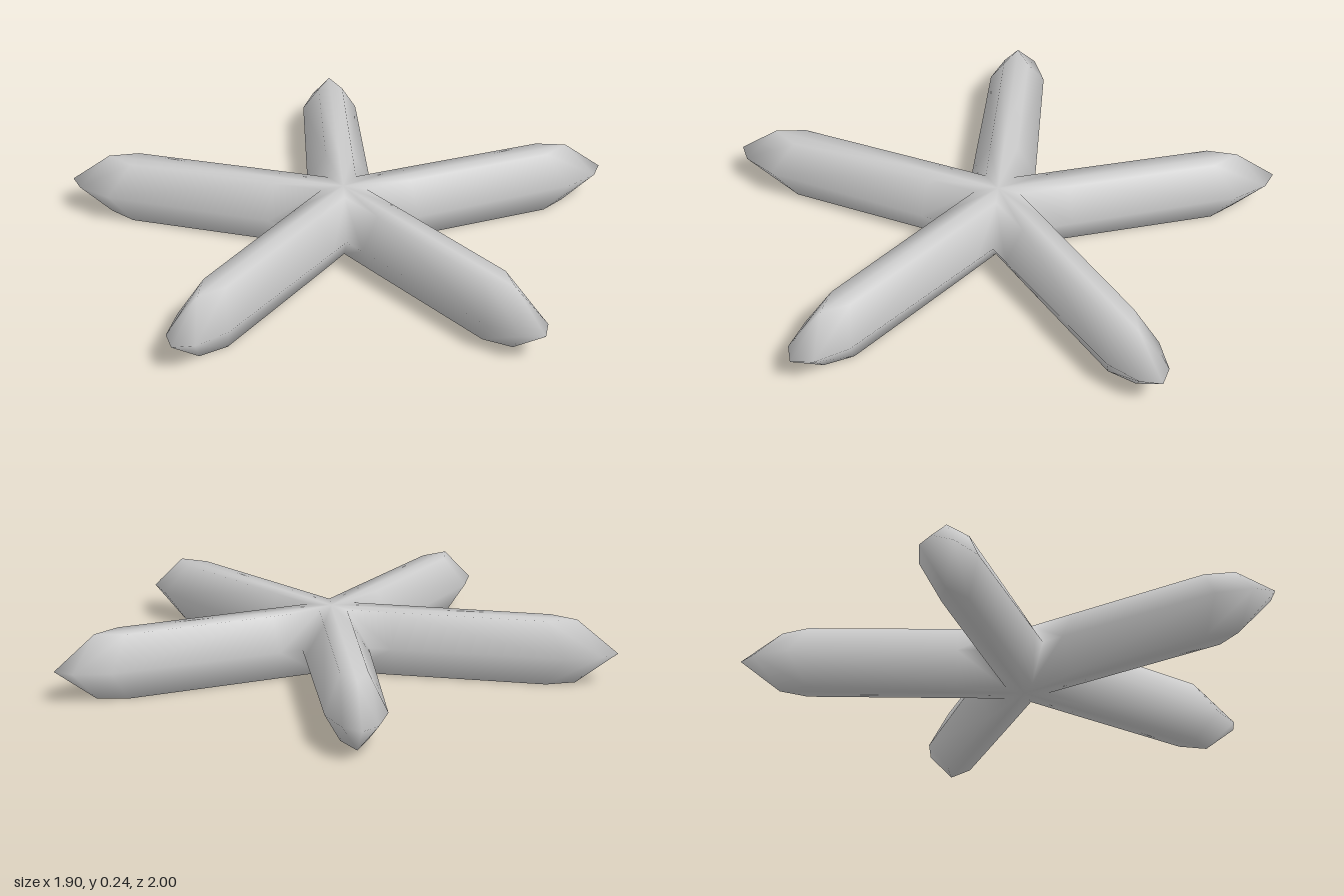
import * as THREE from 'three';
import { mergeGeometries, mergeVertices } from 'three/addons/utils/BufferGeometryUtils.js';

const HALF_HEIGHT = 0.118;
const ARMS = 5;
const VALLEY = Math.tan(Math.PI / ARMS); // slope of the seam between neighbouring arms

// One arm along +x: a six-sided section, flat above and below with a pointed
// edge on each side, tapering outwards and closing in a faceted tip.
// Each line runs from hub to tip as [distance along arm, offset to the side].
function armGeometry() {
  const centre = [[0, 0], [0.25, 0], [0.9, 0], [0.9, 0], [0.9, 0]];
  const shoulder = [[0.069, 0.069 * VALLEY], [0.25, 0.05], [0.8, 0.047], [0.9, 0], [0.9, 0]];
  const flank = [[0.165, 0.165 * VALLEY], [0.25, 0.118], [0.874, 0.105], [1.0, 0.06], [1.05, 0]];
  const pos = [];

  for (const up of [1, -1]) {
    for (const s of [1, -1]) {
      const place = (line, y) => line.map(([d, w]) => new THREE.Vector3(d, y, s * w));
      const tri = (a, b, c) => {
        if (a.equals(b) || b.equals(c) || c.equals(a)) return;
        const corners = up * s > 0 ? [a, b, c] : [a, c, b];
        corners.forEach((p) => pos.push(p.x, p.y, p.z));
      };
      const strip = (inner, outer) => {
        for (let i = 0; i < inner.length - 1; i++) {
          tri(inner[i], outer[i], outer[i + 1]);
          tri(inner[i], outer[i + 1], inner[i + 1]);
        }
      };
      const edge = place(shoulder, up * HALF_HEIGHT);
      strip(place(centre, up * HALF_HEIGHT), edge);
      strip(edge, place(flank, 0));
    }
  }
  const g = new THREE.BufferGeometry();
  g.setAttribute('position', new THREE.Float32BufferAttribute(pos, 3));
  return g;
}

export function createModel() {
  const group = new THREE.Group();
  group.name = 'starfish';

  // Five arms welded at the hub so the shading flows between them
  const arms = [];
  for (let k = 0; k < ARMS; k++) {
    arms.push(armGeometry().rotateY(Math.PI + (k * 2 * Math.PI) / ARMS));
  }
  const geometry = mergeVertices(mergeGeometries(arms), 0.001);
  geometry.computeVertexNormals();

  const body = new THREE.Mesh(geometry, new THREE.MeshStandardMaterial({ color: 0xcccccc }));
  body.name = 'fiveArmedBody';
  body.position.set(0.1, HALF_HEIGHT, 0);
  group.add(body);
  return group;
}
